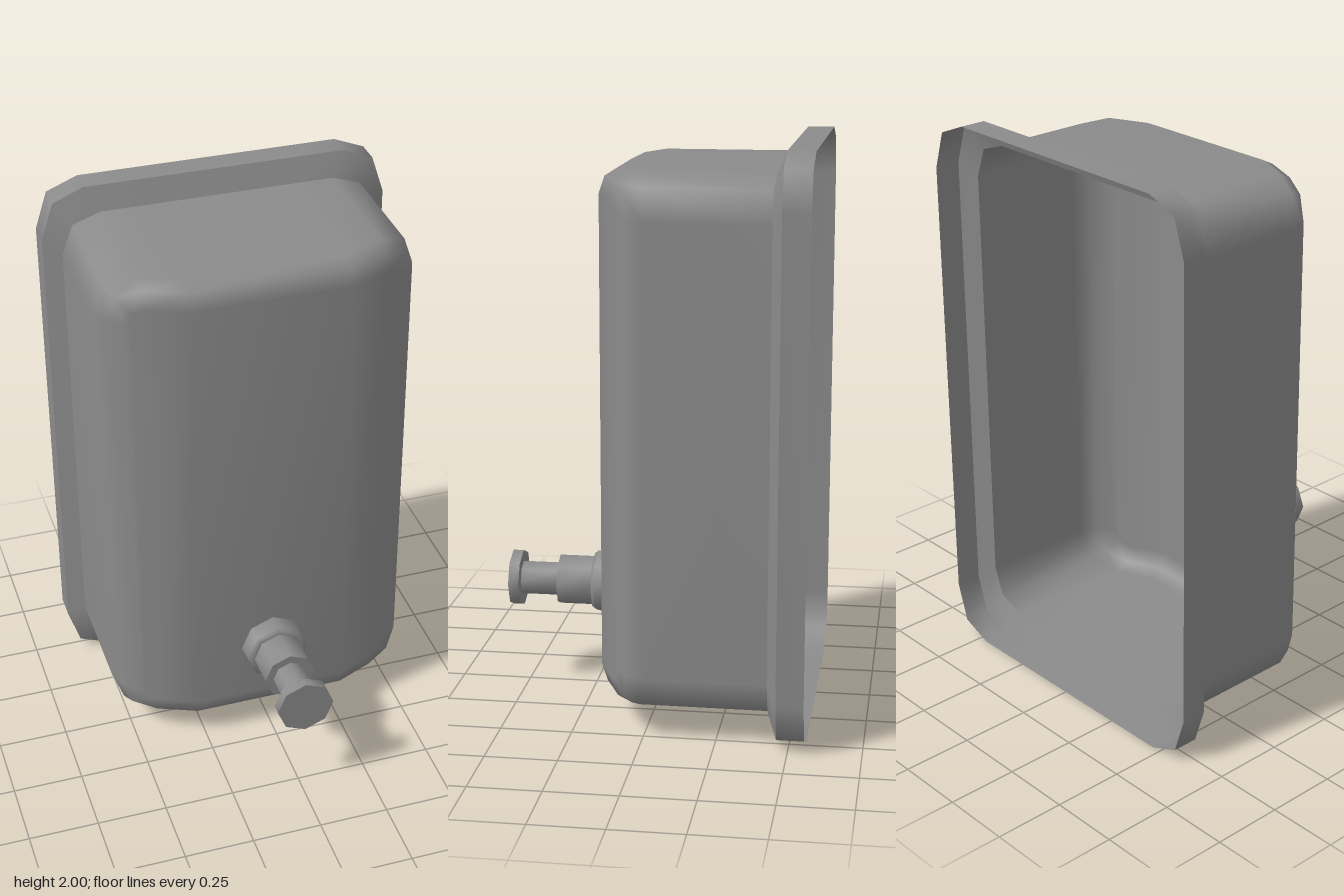
import * as THREE from 'three';
import { toCreasedNormals } from 'three/addons/utils/BufferGeometryUtils.js';

const CENTRE_Y = 1.003;

// Chamfer-cornered rectangle, 16 points, counter-clockwise seen from the front.
// rx, ry: corner size; zAt(x) gives the depth of each point.
function ring(hw, hh, rx, ry, zAt, cy = CENTRE_Y) {
  const quarter = [
    [hw, hh - ry],
    [hw - rx * 0.28, hh - ry * 0.25],
    [hw - rx, hh],
    [0.28, hh],
  ];
  const mirrored = quarter.map(([x, y]) => [-x, y]).reverse();
  const top = [...quarter, ...mirrored];
  const bottom = top.map(([x, y]) => [x, -y]).reverse();
  return [...top, ...bottom].map(([x, y]) => [x, y + cy, zAt(x)]);
}

// Skin rings running from back to front, optionally closing the front
function loft(rings, capped) {
  const n = rings[0].length;
  const index = [];
  const quad = (a, b, c, d) => index.push(a, b, c, a, c, d);
  for (let j = 0; j < rings.length - 1; j++) {
    for (let i = 0; i < n; i++) {
      const k = (i + 1) % n;
      quad(j * n + i, j * n + k, (j + 1) * n + k, (j + 1) * n + i);
    }
  }
  if (capped) {
    const o = (rings.length - 1) * n;
    for (let i = 0; i < n / 2 - 1; i++) quad(o + i, o + i + 1, o + n - 2 - i, o + n - 1 - i);
  }
  const geo = new THREE.BufferGeometry();
  geo.setAttribute('position', new THREE.Float32BufferAttribute(rings.flat(2), 3));
  geo.setIndex(index);
  geo.computeVertexNormals();
  return geo;
}

export function createModel() {
  const group = new THREE.Group();
  const shell = new THREE.MeshStandardMaterial({ color: 0x8b8b8b, side: THREE.DoubleSide });
  const solid = new THREE.MeshStandardMaterial({ color: 0x8b8b8b });
  const add = (name, geo, mat) => {
    const mesh = new THREE.Mesh(geo, mat);
    mesh.name = name;
    group.add(mesh);
    return mesh;
  };

  // Hollow body: straight walls, rounded rim, front panel with sloping flanks
  const W = 0.56, H = 0.914, R = 0.14;
  const front = (x) => 0.181 - Math.max(0, Math.abs(x) - 0.28) * 0.43;
  const bodyBack = ring(W, H, R, R, () => -0.427);
  const bodyRings = [bodyBack];
  for (const [inset, drop] of [[0, 0.07], [0.025, 0.02], [0.085, 0]]) {
    bodyRings.push(ring(W - inset, H - inset, R - inset, R - inset, (x) => front(x) - drop));
  }
  add('body', loft(bodyRings, true), shell);

  // Open flange at the back: outer wall, and a bevel down to the body
  const [flangeBack, flangeFront] = [-0.556, -0.462].map((z) => ring(0.622, 1, 0.155, 0.18, () => z, 1));
  add('flangeWall', loft([flangeBack, flangeFront], false), shell);
  add('flangeBevel', loft([flangeFront, bodyBack], false), shell);

  // Octagonal stepped push valve: [radius, z]
  const profile = [
    [0, 0.172], [0.118, 0.172], [0.114, 0.24], [0.103, 0.253], [0.092, 0.253],
    [0.092, 0.38], [0.062, 0.38], [0.062, 0.517], [0.103, 0.517], [0.103, 0.555], [0, 0.555],
  ].map(([r, z]) => new THREE.Vector2(r, z));
  const valve = new THREE.LatheGeometry(profile, 8).rotateX(Math.PI / 2);
  add('pushValve', toCreasedNormals(valve, 1), solid).position.set(0.005, 0.39, 0);

  return group;
}
